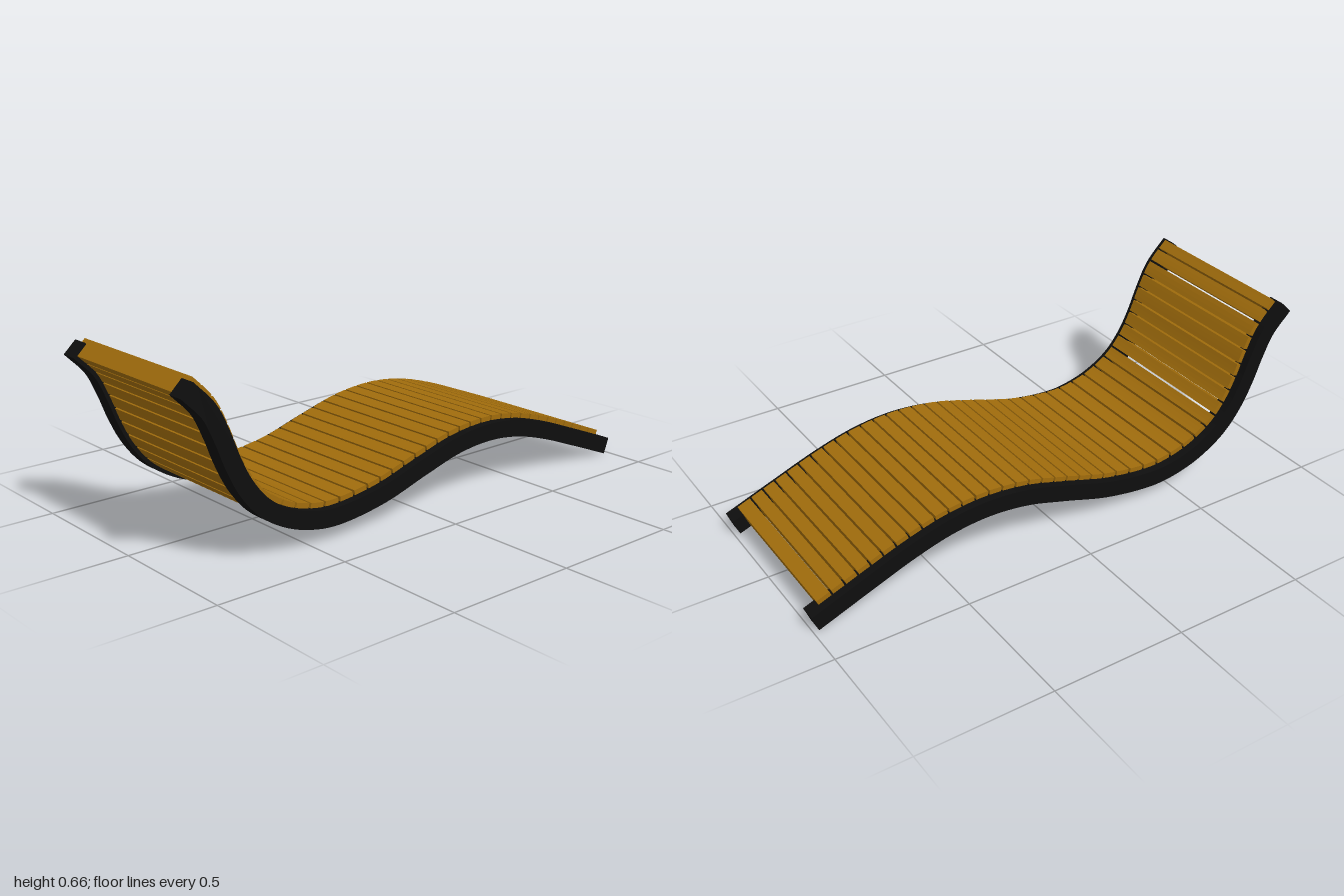
import * as THREE from 'three';

// Centre line of the side rails, head end to foot end
const spine = new THREE.CatmullRomCurve3([
  [-0.977, 0.631], [-0.9, 0.55], [-0.855, 0.46], [-0.817, 0.365], [-0.77, 0.275],
  [-0.7, 0.192], [-0.6, 0.13], [-0.5, 0.098], [-0.4, 0.087], [-0.2, 0.112], [0, 0.17],
  [0.16, 0.213], [0.32, 0.228], [0.47, 0.213], [0.62, 0.172], [0.8, 0.105], [0.99, 0.031],
].map(([x, y]) => new THREE.Vector3(x, y, 0)), false, 'centripetal');
spine.arcLengthDivisions = 600;
const LENGTH = spine.getLength();

// Point at arc length s, moved off the centre line along its upward normal
function offsetPoint(s, offset) {
  const u = THREE.MathUtils.clamp(s / LENGTH, 0, 1);
  const p = spine.getPointAt(u);
  const t = spine.getTangentAt(u);
  return new THREE.Vector2(p.x - t.y * offset, p.y + t.x * offset);
}

// Bar following the spine from s0 to s1, between two offsets, width wide in z
function bentBar(s0, s1, low, high, width, steps) {
  const under = [], over = [];
  for (let i = 0; i <= steps; i++) {
    const s = s0 + (s1 - s0) * i / steps;
    under.push(offsetPoint(s, low));
    over.unshift(offsetPoint(s, high));
  }
  const shape = new THREE.Shape([...under, ...over]);
  return new THREE.ExtrudeGeometry(shape, { depth: width, bevelEnabled: false })
    .translate(0, 0, -width / 2);
}

// Slat spacing [arc length, pitch]: widest at the seat
const SPACING = [[0, 0.049], [0.45, 0.062], [0.8, 0.072], [1.15, 0.058], [1.6, 0.052], [2.5, 0.054]];
function pitchAt(s) {
  const i = Math.max(1, SPACING.findIndex(([d]) => d > s));
  const [a, pa] = SPACING[i - 1], [b, pb] = SPACING[i];
  return pa + (pb - pa) * (s - a) / (b - a);
}

export function createModel() {
  const model = new THREE.Group();
  model.name = 'slattedLounger';
  const wood = new THREE.MeshStandardMaterial({ color: 0xa06c0c });
  const black = new THREE.MeshStandardMaterial({ color: 0x0e0e0e });

  // Two square side rails
  const railGeometry = bentBar(0, LENGTH, -0.032, 0.032, 0.062, 110);
  for (const [name, side] of [['leftRail', 1], ['rightRail', -1]]) {
    const rail = new THREE.Mesh(railGeometry, black);
    rail.name = name;
    rail.position.z = side * 0.315;
    // rails run from head to foot, so front and back take the model's sides
    rail.name = side > 0 ? 'frontRail' : 'backRail';
    model.add(rail);
  }

  // Deep cross slats, let into the rails and standing a little proud of them
  const slats = new THREE.Group();
  slats.name = 'slats';
  const starts = [0];
  const end = LENGTH - 0.045;
  while (starts.at(-1) < end) starts.push(starts.at(-1) + pitchAt(starts.at(-1)));
  const fit = (end - 0.008) / starts.at(-1);
  for (let i = 0; i < starts.length - 1; i++) {
    const s0 = 0.008 + starts[i] * fit, s1 = 0.008 + starts[i + 1] * fit;
    const gap = i === starts.length - 2 ? 0 : (s1 - s0) * 0.14;
    const slat = new THREE.Mesh(bentBar(s0, s1 - gap, -0.018, 0.05, 0.63, 3), wood);
    slat.name = 'slat';
    slats.add(slat);
  }
  model.add(slats);
  return model;
}
